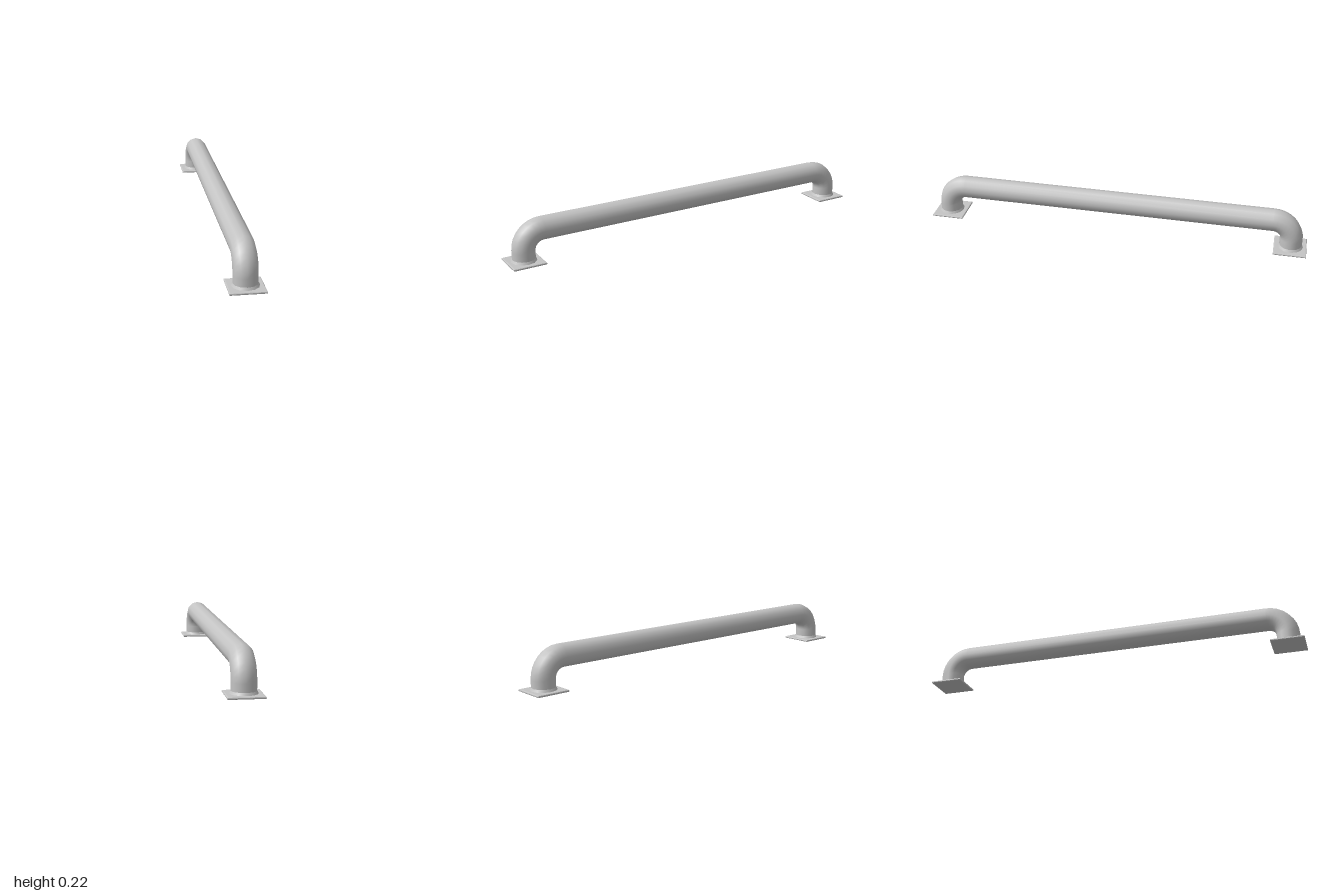
import * as THREE from 'three';

const RADIUS = 0.058, SIDES = 12, AXIS_Y = 0.159, LEG_Z = 0.917, BEND = 0.098, BEND_STEPS = 8;

// Pipe: a ring swept up one leg, along the rail and down the other leg.
function pipeGeometry() {
  const stations = [{ y: 0.008, z: LEG_Z, a: 0 }];
  for (const start of [0, Math.PI / 2]) {
    const side = start === 0 ? 1 : -1;
    for (let i = 0; i <= BEND_STEPS; i++) {
      const a = start + (i / BEND_STEPS) * Math.PI / 2;
      stations.push({
        y: AXIS_Y - BEND + BEND * Math.sin(a),
        z: side * (LEG_Z - BEND) + BEND * Math.cos(a),
        a,
      });
    }
  }
  stations.push({ y: 0.008, z: -LEG_Z, a: Math.PI });

  const positions = [], normals = [], indices = [];
  stations.forEach(({ y, z, a }, row) => {
    for (let j = 0; j <= SIDES; j++) {
      const t = (j / SIDES) * Math.PI * 2;
      const n = [Math.cos(t), Math.sin(t) * Math.sin(a), Math.sin(t) * Math.cos(a)];
      normals.push(...n);
      positions.push(n[0] * RADIUS, y + n[1] * RADIUS, z + n[2] * RADIUS);
      if (row > 0 && j > 0) {
        const d = row * (SIDES + 1) + j, c = d - 1, b = d - SIDES - 1, e = b - 1;
        indices.push(e, c, b, b, c, d);
      }
    }
  });
  const geometry = new THREE.BufferGeometry();
  geometry.setAttribute('position', new THREE.Float32BufferAttribute(positions, 3));
  geometry.setAttribute('normal', new THREE.Float32BufferAttribute(normals, 3));
  geometry.setIndex(indices);
  return geometry;
}

// Square plate with softened rims, lying on the ground.
function plateGeometry() {
  const h = 0.079;
  const square = new THREE.Shape([[-h, -h], [h, -h], [h, h], [-h, h]].map(([x, y]) => new THREE.Vector2(x, y)));
  const geometry = new THREE.ExtrudeGeometry(square, {
    depth: 0.004, bevelThickness: 0.0035, bevelSize: 0.005, bevelSegments: 2,
  });
  return geometry.translate(0, 0, 0.0035).rotateX(-Math.PI / 2);
}

export function createModel() {
  const group = new THREE.Group();
  const steel = new THREE.MeshStandardMaterial({ color: 0xc4c4c4 });
  steel.name = 'brushedSteel';

  const add = (name, geometry, y, z) => {
    const mesh = new THREE.Mesh(geometry, steel);
    mesh.name = name;
    mesh.position.set(0, y, z);
    group.add(mesh);
  };

  add('bentPipe', pipeGeometry(), 0, 0);

  // Mounting plate and flared weld collar under each leg
  const plate = plateGeometry();
  const collar = new THREE.CylinderGeometry(RADIUS, 0.065, 0.013, SIDES, 1, true);
  for (const [label, side] of [['front', 1], ['back', -1]]) {
    // SIDES is even, so the collar facets line up with the pipe facets
    add(label + 'Plate', plate, 0, side * (1 - 0.084));
    add(label + 'WeldCollar', collar, 0.0165, side * LEG_Z);
  }
  return group;
}
